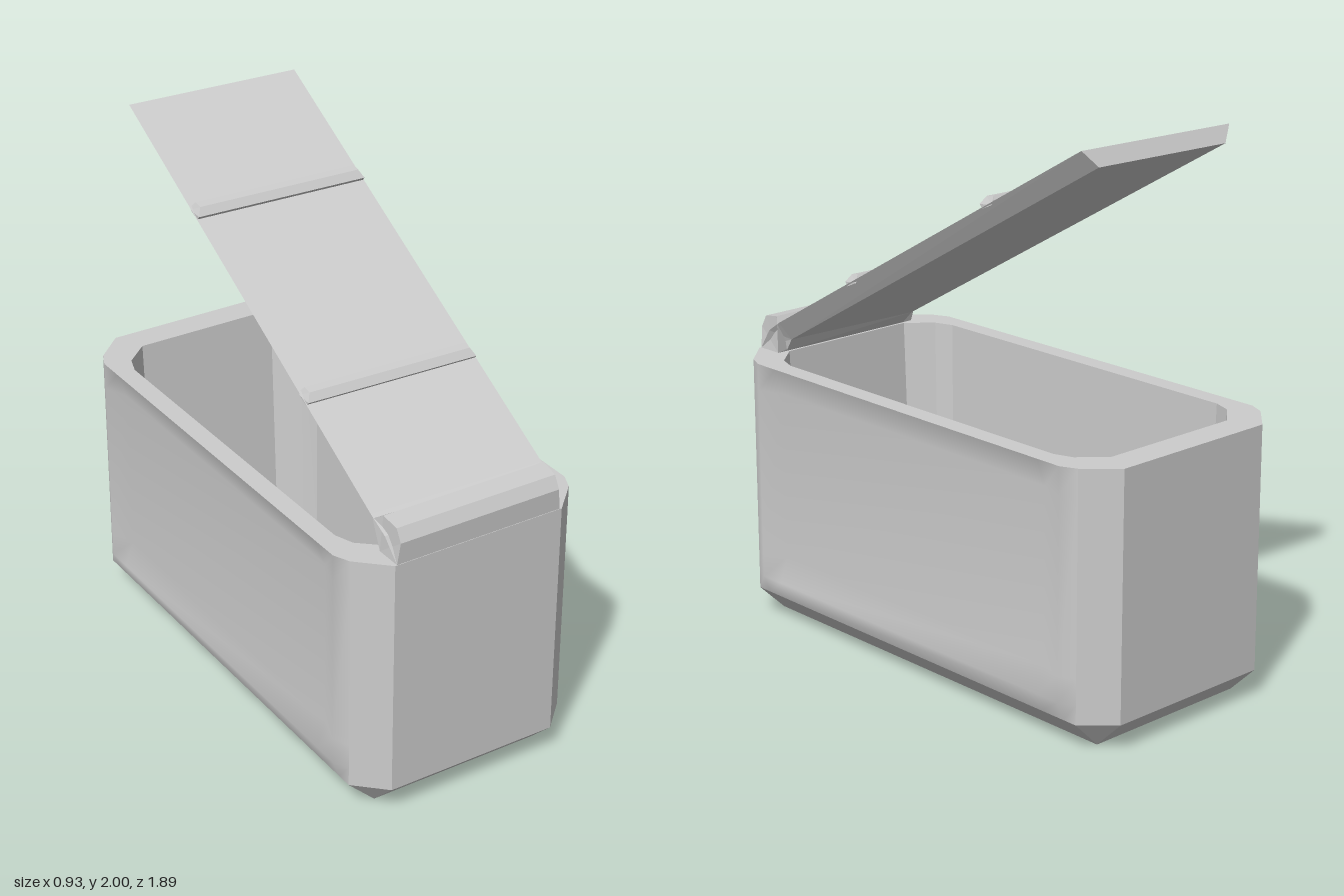
import * as THREE from 'three';

// Joins rings of equal point count with quads and caps both ends; skip leaves quads open.
function loft(rings, skip = () => false) {
  const pos = [];
  const tri = (a, b, c) => {
    const area = b.clone().sub(a).cross(c.clone().sub(a)).length();
    if (area > 1e-7) for (const p of [a, b, c]) pos.push(p.x, p.y, p.z);
  };
  const n = rings[0].length;
  for (let k = 0; k + 1 < rings.length; k++) {
    for (let i = 0; i < n; i++) {
      const j = (i + 1) % n;
      const [a, b, c, d] = [rings[k][i], rings[k][j], rings[k + 1][j], rings[k + 1][i]];
      if (skip(k, a, b)) continue;
      tri(a, d, c);
      tri(a, c, b);
    }
  }
  const first = rings[0], last = rings[rings.length - 1];
  for (let i = 1; i + 1 < n; i++) {
    tri(first[0], first[i], first[i + 1]);
    tri(last[0], last[i + 1], last[i]);
  }
  const geo = new THREE.BufferGeometry();
  geo.setAttribute('position', new THREE.Float32BufferAttribute(pos, 3));
  geo.computeVertexNormals();
  return geo;
}

// Mirrors one corner's points (x, z), side to end, into a full horizontal ring.
function cornerRing(y, corner) {
  const back = [...corner].reverse();
  const quarter = (pts, sx, sz) => pts.map(([x, z]) => new THREE.Vector3(sx * x, y, sz * z));
  return [
    ...quarter(corner, 1, 1), ...quarter(back, -1, 1),
    ...quarter(corner, -1, -1), ...quarter(back, 1, -1),
  ];
}

// Spans a side profile of (z, y, halfWidth) across x, with a slight skew.
function crossPiece(profile) {
  const side = (s) => profile.map(([z, y, w]) =>
    new THREE.Vector3(s * w, y, z + (z < 0.83 ? 0.035 * s * w : 0)));
  return loft([side(-1), side(1)]);
}

// Smooth long side: raised frame around a shallow dent, open at the rim.
function sidePanel() {
  const zs = [0.84, 0.78, 0.68, -0.68, -0.78, -0.84];
  const ys = [1, 0.9, 0.27, 0.175, 0.105];
  const depths = [0.44, 0.467, 0.433];
  const geo = new THREE.PlaneGeometry(1, 1, zs.length - 1, ys.length - 1);
  ys.forEach((y, r) => zs.forEach((z, c) => {
    const level = Math.min(c, zs.length - 1 - c, r + 1, ys.length - 1 - r, 2);
    geo.attributes.position.setXYZ(r * zs.length + c, depths[level], y, z);
  }));
  geo.computeVertexNormals();
  return geo;
}

export function createModel() {
  const group = new THREE.Group();
  const add = (name, geometry, flatShading = true) => {
    const mesh = new THREE.Mesh(geometry, new THREE.MeshStandardMaterial({ color: 0xcccccc, flatShading }));
    mesh.name = name;
    group.add(mesh);
    return mesh;
  };

  // Hollow container: chamfered base and corners, flat rim, tapered cavity
  add('container', loft([
    cornerRing(0, [[0.333, 0.835], [0.333, 0.835], [0.333, 0.835]]),
    cornerRing(0.105, [[0.44, 0.78], [0.44, 0.84], [0.333, 0.942]]),
    cornerRing(1, [[0.467, 0.78], [0.44, 0.84], [0.333, 0.942]]),
    cornerRing(1, [[0.395, 0.68], [0.37, 0.75], [0.28, 0.83]]),
    cornerRing(0.1, [[0.38, 0.66], [0.355, 0.72], [0.275, 0.79]]),
  ], (k, a, b) => k === 1 && a.x === b.x));

  // Long sides of the container
  add('leftSide', sidePanel(), false);
  add('rightSide', sidePanel(), false).rotation.y = Math.PI;

  // Raised lid board with a bent foot on the front rim, narrower underneath
  add('lid', crossPiece([
    [0.8, 1.05, 0.285], [0.84, 1, 0.285], [0.94, 1, 0.325], [0.88, 1.08, 0.333],
    [0.81, 1.12, 0.333], [-0.745, 2, 0.333], [-0.775, 1.945, 0.285],
  ]));

  // Rounded hinge cover over the foot
  add('hinge', crossPiece([
    [0.84, 1, 0.325], [0.94, 1, 0.325], [0.945, 1.08, 0.315],
    [0.92, 1.125, 0.315], [0.85, 1.138, 0.32], [0.82, 1.11, 0.333],
  ]));

  // Two raised battens across the lid
  for (const k of [0, 1]) {
    const z = -0.7 * k, y = 0.4 * k;
    add('batten', crossPiece([
      [0.37 + z, 1.355 + y, 0.33], [0.415 + z, 1.335 + y, 0.33], [0.428 + z, 1.35 + y, 0.33],
      [0.41 + z, 1.378 + y, 0.315], [0.378 + z, 1.384 + y, 0.315], [0.368 + z, 1.37 + y, 0.325],
    ]));
  }
  return group;
}
